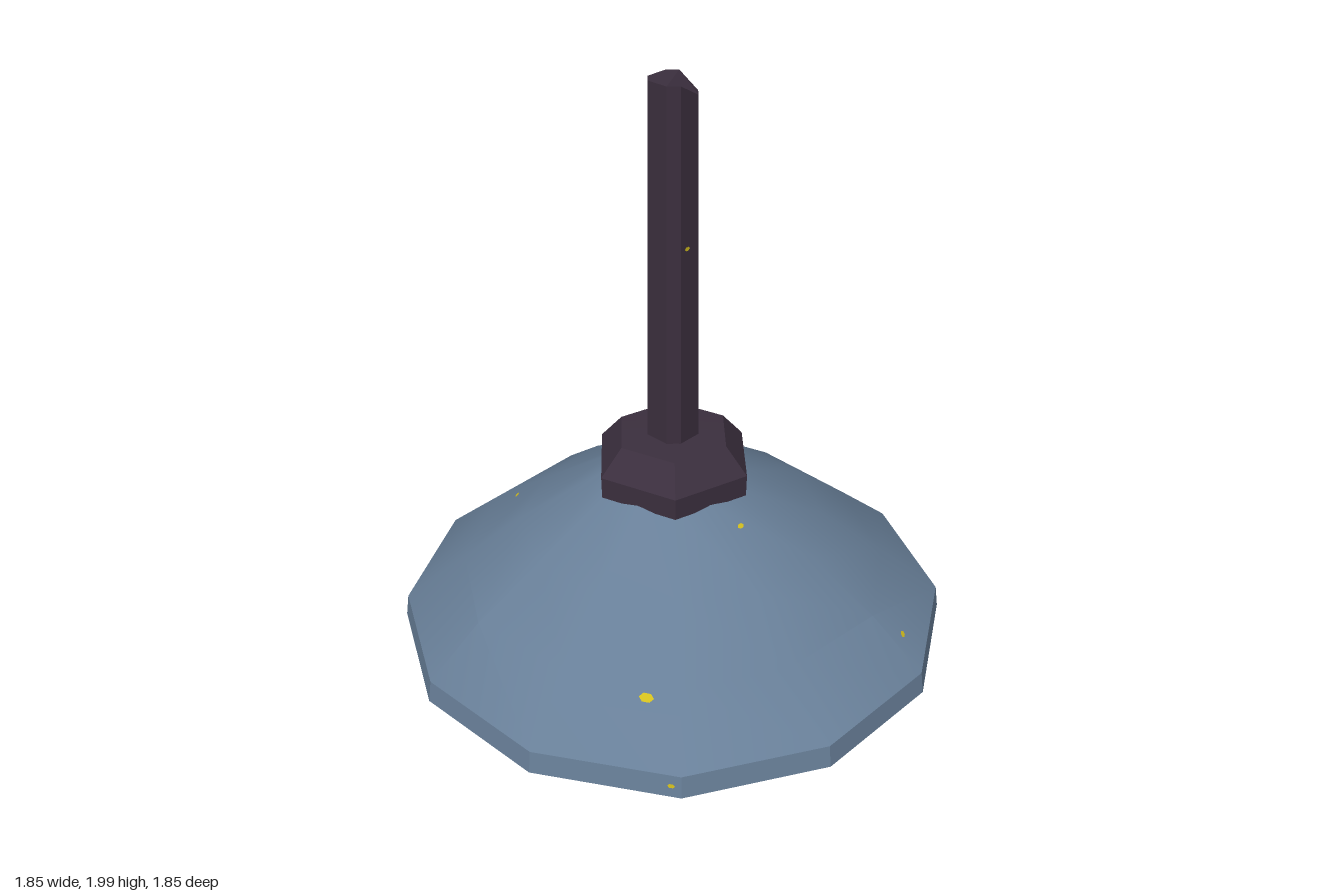
import * as THREE from 'three';
import { toCreasedNormals } from 'three/addons/utils/BufferGeometryUtils.js';

const paint = (name, color) => {
  const m = new THREE.MeshStandardMaterial({ color });
  m.name = name;
  return m;
};

export function createModel() {
  const group = new THREE.Group();
  group.name = 'pendantLamp';
  const slate = paint('slate enamel', 0x687f98);
  const yellow = paint('yellow lining', 0xd2bd1c);
  const dark = paint('dark metal', 0x3b2f3e);
  const grey = paint('grey glass', 0x828180);

  const add = (name, geometry, material) => {
    const mesh = new THREE.Mesh(geometry, material);
    mesh.name = name;
    group.add(mesh);
    return mesh;
  };
  // Faceted turned part; rising points face outwards, falling points inwards
  const turned = (points, sides, crease, rule) => {
    const g = new THREE.LatheGeometry(points.map(([r, y]) => new THREE.Vector2(r, y)), sides);
    const p = g.attributes.position;
    if (rule) for (let i = 0; i < p.count; i++) {
      const v = new THREE.Vector3().fromBufferAttribute(p, i);
      rule(v, Math.round(Math.atan2(v.x, v.z) / (Math.PI * 2) * sides + sides) % sides);
      p.setXYZ(i, v.x, v.y, v.z);
    }
    return toCreasedNormals(g, crease);
  };

  // Slightly hammered shade with a short upright rim
  const dent = (v, side) => {
    if (v.y > 0.2 && v.y < 0.55) {
      const k = 1 + 0.02 * Math.sin(side * 2.4 + v.y * 9);
      v.x *= k;
      v.z *= k;
    }
  };
  const shade = add('shade', turned([[0.915, 0.145], [0.72, 0.31], [0.51, 0.465], [0.235, 0.64]], 12, 0.42, dent), slate);
  const rim = add('shadeRim', turned([[0.925, 0.07], [0.915, 0.145]], 12, 0.2), slate);
  const lining = add('shadeLining', turned([[0.001, 0.6], [0.22, 0.6], [0.49, 0.435], [0.69, 0.285],
    [0.885, 0.125], [0.9, 0.07], [0.925, 0.07]], 12, 0.42, dent), yellow);

  // Hexagonal collar
  add('collar', turned([[0.001, 0.63], [0.27, 0.63], [0.272, 0.705], [0.195, 0.795], [0.001, 0.802]], 6, 0.2), dark);

  // Square rod turned on its corner, with bevelled edges and a chipped top
  const outline = [];
  for (let i = 0; i < 4; i++) for (const s of [-1, 1]) {
    const a = i * Math.PI / 2, w = s * 0.022;
    outline.push(new THREE.Vector2(0.08 * Math.cos(a) - w * Math.sin(a), 0.08 * Math.sin(a) + w * Math.cos(a)));
  }
  const rodGeo = new THREE.ExtrudeGeometry(new THREE.Shape(outline), { depth: 1.22, bevelEnabled: false });
  rodGeo.rotateX(-Math.PI / 2).translate(0, 0.78, 0);
  const rp = rodGeo.attributes.position;
  for (let i = 0; i < rp.count; i++) {
    const top = rp.getY(i) > 1.5, k = top ? 0.93 : 1.04;
    if (top && rp.getX(i) > 0.06) rp.setY(i, 1.955);
    rp.setX(i, rp.getX(i) * k);
    rp.setZ(i, rp.getZ(i) * k);
  }
  const rod = add('rod', toCreasedNormals(rodGeo, 0.2), dark);

  // Faceted bulb
  add('bulb', turned([[0.001, 0.008], [0.06, 0.014], [0.18, 0.065], [0.25, 0.2], [0.2, 0.34], [0.11, 0.5], [0.1, 0.61]], 8, 0.25), grey);

  // Paint chips dropped onto the surfaces
  const chip = (target, from, dir, size, material) => {
    const ray = new THREE.Raycaster(new THREE.Vector3(...from), new THREE.Vector3(...dir));
    const hit = ray.intersectObject(target)[0];
    if (!hit) return;
    const m = add('paintChip', new THREE.CircleGeometry(size, 6), material);
    m.scale.y = 0.65;
    m.position.copy(hit.point).addScaledVector(hit.face.normal, 0.003);
    m.lookAt(m.position.clone().add(hit.face.normal));
  };
  for (const [x, z, s] of [[-0.25, -0.63, 0.026], [-0.56, -0.58, 0.017], [0.3, -0.75, 0.02], [0.23, -0.6, 0.012],
    [-0.54, -0.25, 0.012], [0.21, 0.24, 0.014], [0.74, 0.35, 0.015], [-0.1, 0.72, 0.024]])
    chip(shade, [x, 3, z], [0, -1, 0], s, yellow);
  for (const [x, z, s] of [[-0.67, 0.53, 0.02], [-0.74, 0.13, 0.022], [0.16, 0.72, 0.022]])
    chip(lining, [x, -1, z], [0, 1, 0], s, slate);
  chip(rim, [-0.03, 0.11, 3], [0, 0, -1], 0.012, yellow);
  chip(rod, [0.04, 1.48, 3], [0, 0, -1], 0.011, yellow);
  chip(rod, [3, 0.92, -0.019], [-1, 0, 0], 0.014, yellow);
  return group;
}
